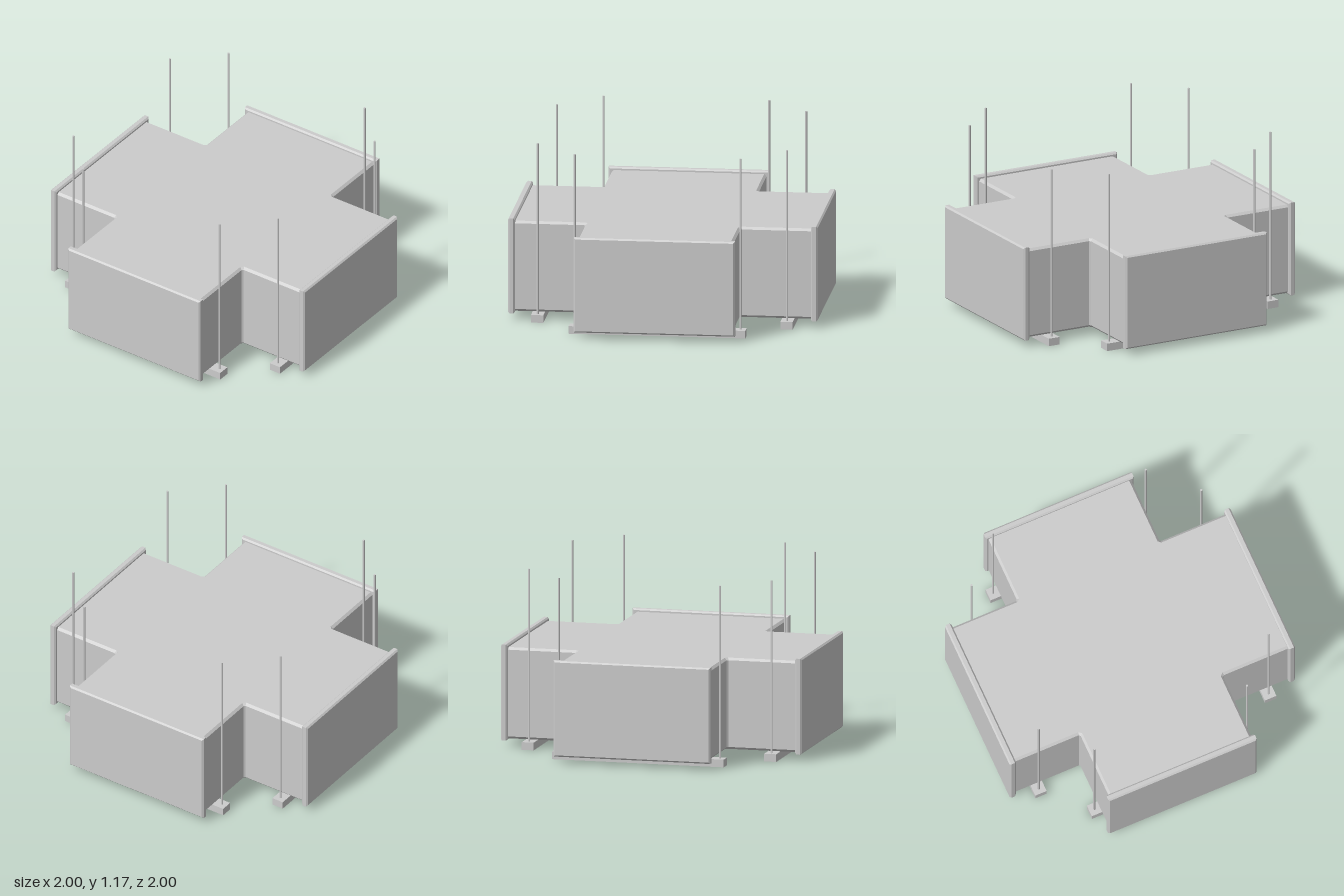
import * as THREE from 'three';

const material = new THREE.MeshStandardMaterial({ color: 0xcccccc, flatShading: true });

function addMesh(parent, name, geometry, x = 0, y = 0, z = 0) {
  const mesh = new THREE.Mesh(geometry, material);
  mesh.name = name;
  mesh.position.set(x, y, z);
  parent.add(mesh);
  return mesh;
}

// Extrusion with a single chamfer; depth and outline are given before the chamfer
function chamfered(points, depth, chamfer) {
  const shape = new THREE.Shape(points.map(([x, y]) => new THREE.Vector2(x, y)));
  return new THREE.ExtrudeGeometry(shape, {
    depth, bevelEnabled: true, bevelThickness: chamfer, bevelSize: chamfer, bevelSegments: 1,
  });
}

export function createModel() {
  const model = new THREE.Group();
  model.name = 'ductCross';

  // Cross-shaped duct body with chamfered edges and cut inner corners
  const w = 0.485, end = 0.955, cut = 0.018, c = 0.015;
  const outline = [];
  for (let i = 0; i < 4; i++) {
    const cos = Math.round(Math.cos(i * Math.PI / 2)), sin = Math.round(Math.sin(i * Math.PI / 2));
    for (const [x, y] of [[end, -w], [end, w], [w + cut, w], [w, w + cut]]) {
      outline.push([x * cos - y * sin, x * sin + y * cos]);
    }
  }
  const bodyGeometry = chamfered(outline, 0.595 - 2 * c, c);
  bodyGeometry.rotateX(-Math.PI / 2);
  addMesh(model, 'ductBody', bodyGeometry, 0, 0.055 + c, 0);

  // Closed end flange, hanger bar and two threaded rods for each arm
  const f = 0.01;
  const hw = 0.52 - f, low = 0.045 + f, high = 0.67 - f;
  const flangeGeometry = chamfered([[-hw, low], [hw, low], [hw, high], [-hw, high]], 0.045 - 2 * f, f);
  const barGeometry = new THREE.BoxGeometry(1.14, 0.05, 0.08);
  const rodGeometry = new THREE.CylinderGeometry(0.007, 0.007, 1.165, 12);
  for (let i = 0; i < 4; i++) {
    const arm = new THREE.Group();
    arm.name = 'arm' + (i + 1);
    arm.rotation.y = i * Math.PI / 2;
    addMesh(arm, 'endFlange', flangeGeometry, 0, 0, 0.955 + f);
    addMesh(arm, 'hangerBar', barGeometry, 0, 0.025, 0.805);
    for (const side of [-1, 1]) addMesh(arm, 'hangerRod', rodGeometry, side * 0.535, 0.5925, 0.805);
    model.add(arm);
  }
  return model;
}
